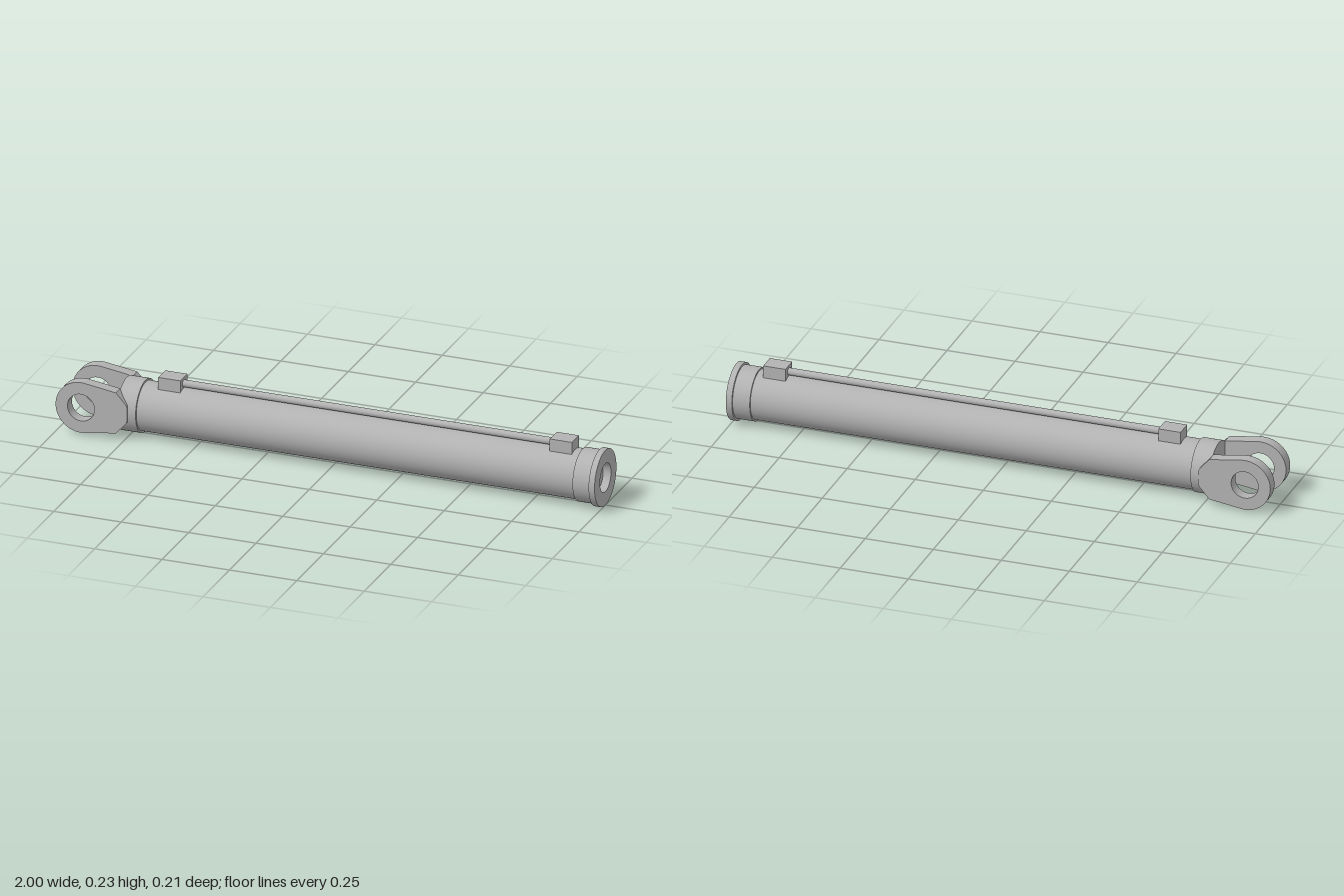
import * as THREE from 'three';
import { mergeGeometries } from 'three/addons/utils/BufferGeometryUtils.js';

const AXIS_Y = 0.104;

// Solid turned about the x axis; profile is [x, radius] from -x to +x, with sharp edges between segments.
function turned(profile) {
  const parts = [];
  for (let i = 0; i < profile.length - 1; i++) {
    const pair = [profile[i], profile[i + 1]].map(([x, r]) => new THREE.Vector2(r, x));
    parts.push(new THREE.LatheGeometry(pair, 72));
  }
  return mergeGeometries(parts).rotateZ(-Math.PI / 2).translate(0, AXIS_Y, 0);
}

// Clevis lug: round eye tapering to a chamfered root, with a pin hole.
function lugGeometry(thickness) {
  const cx = -0.906, r = 0.094, rootX = -0.776, rootY = 0.076;
  // angle where a line from the root corner touches the eye circle
  const dx = rootX - cx;
  const a = Math.atan2(rootY, dx) + Math.acos(Math.min(1, r / Math.hypot(dx, rootY)));
  const s = new THREE.Shape();
  s.absarc(cx, 0, r, a, Math.PI * 2 - a, false);
  s.lineTo(rootX, -rootY);
  s.lineTo(-0.742, -0.038);
  s.quadraticCurveTo(-0.735, -0.03, -0.735, -0.02);
  s.lineTo(-0.735, 0.02);
  s.quadraticCurveTo(-0.735, 0.03, -0.742, 0.038);
  s.lineTo(rootX, rootY);
  s.closePath();
  const hole = new THREE.Path();
  hole.absarc(cx, 0, 0.05, 0, Math.PI * 2, true);
  s.holes.push(hole);
  return new THREE.ExtrudeGeometry(s, { depth: thickness, bevelEnabled: false, curveSegments: 40 });
}

export function createModel() {
  const group = new THREE.Group();
  const steel = new THREE.MeshStandardMaterial({ color: 0xb2b2b2 });
  steel.name = 'steel grey';
  const add = (name, geometry, x = 0, y = 0, z = 0) => {
    const mesh = new THREE.Mesh(geometry, steel);
    mesh.name = name;
    mesh.position.set(x, y, z);
    group.add(mesh);
  };

  // Main tube and its end cap
  add('barrel', turned([[-0.72, 0], [-0.72, 0.089], [0.93, 0.089], [0.93, 0]]));
  add('endCap', turned([[-0.775, 0], [-0.775, 0.096], [-0.705, 0.096], [-0.705, 0]]));

  // Gland with flange and open bore, and the retracted rod inside it
  add('gland', turned([
    [0.915, 0], [0.915, 0.095], [0.978, 0.095], [0.978, 0.103],
    [1, 0.103], [1, 0.052], [0.965, 0.052], [0.965, 0],
  ]));
  add('rodEnd', turned([[0.962, 0], [0.962, 0.05], [0.972, 0.05], [0.972, 0]]));

  // Pair of clevis lugs
  const lug = lugGeometry(0.042);
  add('leftClevisLug', lug, 0, AXIS_Y, 0.058);
  add('rightClevisLug', lug, 0, AXIS_Y, -0.1);

  // Oil line along the top with a port block at each end
  const pipe = new THREE.CylinderGeometry(0.013, 0.013, 1.4, 32).rotateZ(Math.PI / 2);
  add('oilLine', pipe, 0.12, 0.21, 0);
  const block = new THREE.BoxGeometry(0.082, 0.05, 0.066);
  for (const [name, x] of [['rearPortBlock', -0.605], ['frontPortBlock', 0.847]]) add(name, block, x, 0.207, 0);

  return group;
}
